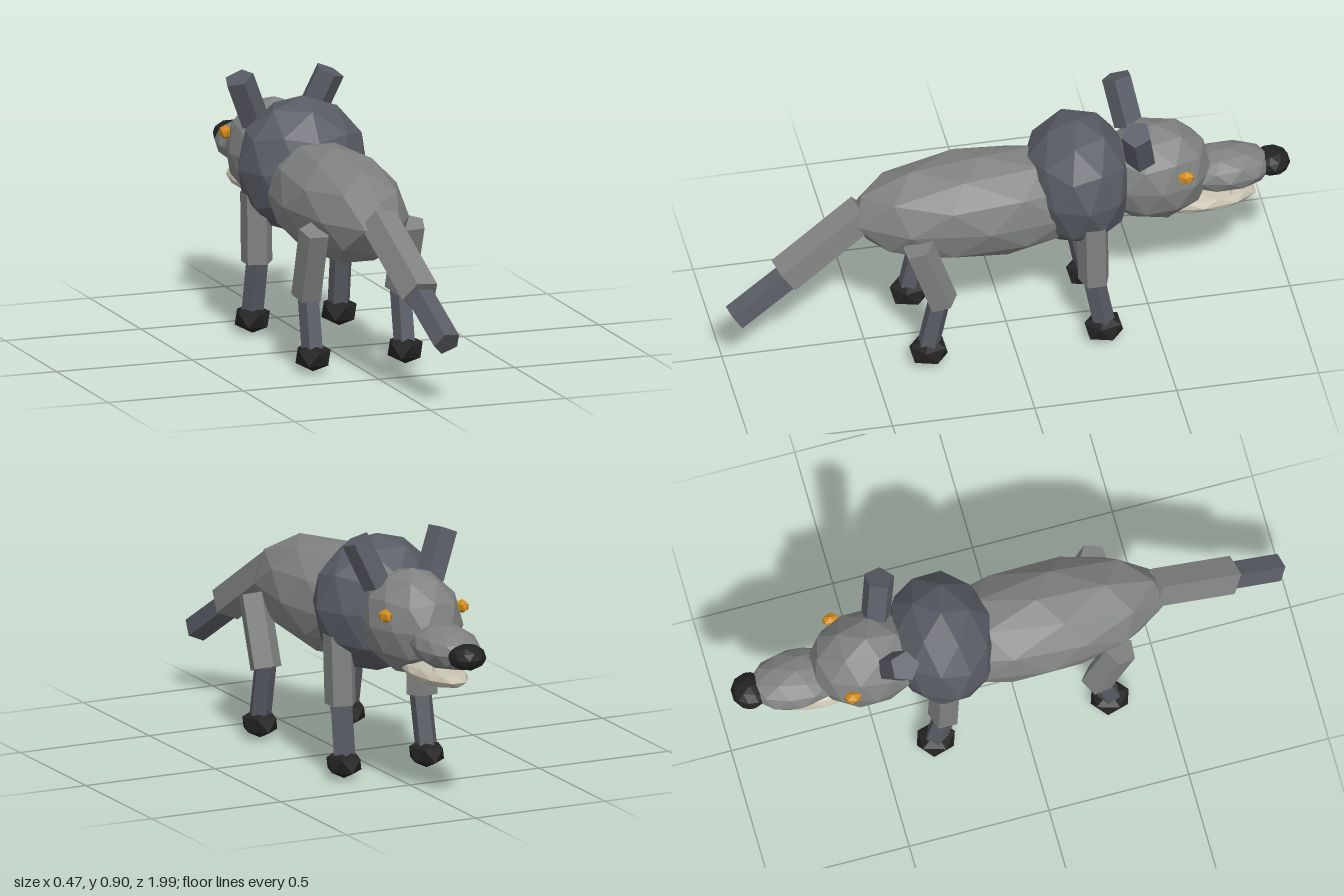
import * as THREE from 'three';

const mat = (name, color) => {
  const m = new THREE.MeshStandardMaterial({ color, flatShading: true });
  m.name = name;
  return m;
};

export function createModel() {
  const group = new THREE.Group();
  group.name = 'wolf';
  const fur = mat('grey fur', 0x808181);
  const darkFur = mat('dark slate fur', 0x585b64);
  const black = mat('black', 0x222222);
  const amber = mat('amber', 0xd08a18);
  const bone = mat('bone', 0xc4beac);
  const white = mat('tooth white', 0xe6e2d6);

  const add = (name, geometry, material) => {
    const mesh = new THREE.Mesh(geometry, material);
    mesh.name = name;
    group.add(mesh);
    return mesh;
  };

  // Faceted ball with a corner at the pole, scaled to the given radii
  const ball = (name, pos, radii, material, detail = 1) => {
    const g = new THREE.IcosahedronGeometry(1, detail);
    g.rotateX(-Math.atan2((1 + Math.sqrt(5)) / 2, 1));
    g.scale(...radii);
    add(name, g, material).position.set(...pos);
  };

  // Five-sided prism running from a to b
  const limb = (name, a, b, radius, material, endRadius = radius) => {
    const from = new THREE.Vector3(...a), to = new THREE.Vector3(...b);
    const dir = to.clone().sub(from);
    const mesh = add(name, new THREE.CylinderGeometry(endRadius, radius, dir.length(), 5), material);
    mesh.position.copy(from).add(to).multiplyScalar(0.5);
    mesh.quaternion.setFromUnitVectors(new THREE.Vector3(0, 1, 0), dir.normalize());
  };

  // Trunk and head
  ball('body', [0, 0.54, 0.09], [0.2, 0.195, 0.47], fur);
  ball('mane', [0, 0.6, -0.25], [0.235, 0.245, 0.195], darkFur);
  ball('head', [0, 0.595, -0.52], [0.167, 0.188, 0.205], fur);
  ball('muzzle', [0, 0.563, -0.77], [0.11, 0.075, 0.17], fur);
  ball('nose', [0, 0.563, -0.935], [0.068, 0.046, 0.065], black);
  ball('lowerJaw', [0, 0.455, -0.68], [0.09, 0.042, 0.205], bone);

  // Tail, hanging a little to one side
  limb('tailBase', [0, 0.56, 0.5], [0.045, 0.36, 0.79], 0.07, fur);
  limb('tailTip', [0.045, 0.36, 0.77], [0.075, 0.227, 0.97], 0.05, darkFur);

  for (const s of [-1, 1]) {
    const side = s > 0 ? 'PlusX' : 'MinusX';
    // Face details
    ball('eye' + side, [s * 0.148, 0.65, -0.605], [0.024, 0.025, 0.032], amber, 0);
    limb('ear' + side, [s * 0.1, 0.72, -0.455], [s * 0.168, 0.882, -0.425], 0.054, darkFur);
    limb('fang' + side, [s * 0.05, 0.515, -0.785], [s * 0.05, 0.465, -0.785], 0.011, white, 0.003);

    // Hind leg
    limb('hindThigh' + side, [s * 0.175, 0.51, 0.345], [s * 0.172, 0.262, 0.26], 0.057, fur);
    limb('hindShin' + side, [s * 0.17, 0.275, 0.267], [s * 0.17, 0.06, 0.312], 0.04, darkFur);
    ball('hindPaw' + side, [s * 0.17, 0.057, 0.307], [0.067, 0.053, 0.076], black, 0);

    // Front leg
    limb('frontUpperLeg' + side, [s * 0.16, 0.51, -0.275], [s * 0.155, 0.262, -0.28], 0.057, fur);
    limb('frontLowerLeg' + side, [s * 0.155, 0.275, -0.275], [s * 0.16, 0.06, -0.315], 0.04, darkFur);
    ball('frontPaw' + side, [s * 0.16, 0.057, -0.312], [0.067, 0.053, 0.076], black, 0);
  }
  return group;
}
